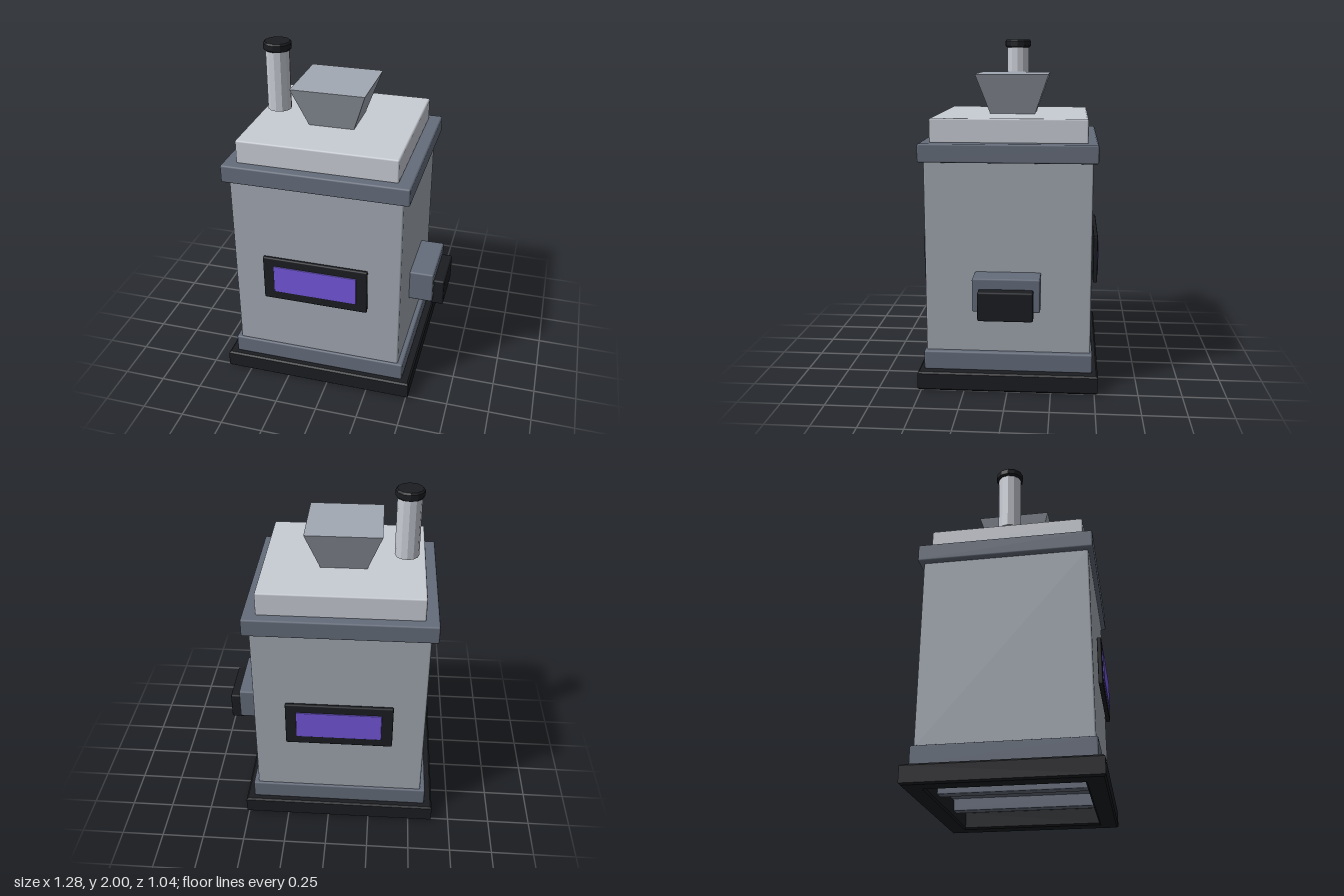
import * as THREE from 'three';
import { RoundedBoxGeometry } from 'three/addons/geometries/RoundedBoxGeometry.js';

const CX = -0.065; // centre line of the cabinet

const mat = (color, flatShading = false) => new THREE.MeshStandardMaterial({ color, flatShading });
const black = mat(0x1b1d21);
const slate = mat(0x656d7b);
const grey = mat(0xa1a8b2);
const pale = mat(0xc8ccd4);
const violet = mat(0x7457dc);
const greyFlat = mat(0xa1a8b2, true);
const paleFlat = mat(0xc8ccd4, true);
const blackFlat = mat(0x1b1d21, true);

export function createModel() {
  const model = new THREE.Group();
  model.name = 'hopperMachine';

  const add = (name, geometry, material, x = 0, y = 0, z = 0) => {
    const mesh = new THREE.Mesh(geometry, material);
    mesh.name = name;
    mesh.position.set(x, y, z);
    model.add(mesh);
    return mesh;
  };

  // Softly bevelled box given by its limits on each axis
  const box = (name, material, [x0, x1], [y0, y1], [z0, z1], bevel = 0.01) =>
    add(name, new RoundedBoxGeometry(x1 - x0, y1 - y0, z1 - z0, 1, bevel), material,
      (x0 + x1) / 2, (y0 + y1) / 2, (z0 + z1) / 2);

  // Box centred on the cabinet, from half width, height limits and half depth
  const tier = (name, material, hw, y, hd) =>
    box(name, material, [CX - hw, CX + hw], y, [-hd, hd]);

  // Hollow plinth, open underneath
  const bevel = 0.01, hw = 0.578 - bevel, hd = 0.52 - bevel, rim = 0.09;
  const rect = (path, w, d) =>
    path.moveTo(-w, -d).lineTo(w, -d).lineTo(w, d).lineTo(-w, d).closePath();
  const outline = rect(new THREE.Shape(), hw, hd);
  outline.holes.push(rect(new THREE.Path(), hw - rim, hd - rim));
  const plinth = new THREE.ExtrudeGeometry(outline, {
    depth: 0.11 - 2 * bevel, bevelEnabled: true, bevelSize: bevel, bevelThickness: bevel, bevelSegments: 1,
  });
  plinth.rotateX(-Math.PI / 2);
  add('plinth', plinth, black, CX, bevel, 0);

  // Bars inside the plinth
  for (const s of [-1, 1]) {
    const x = CX + s * 0.19;
    box('plinthBar', slate, [x - 0.035, x + 0.035], [0.04, 0.12], [-0.43, 0.43], 0.006);
  }

  // Stacked cabinet
  tier('lowerCollar', slate, 0.53, [0.11, 0.222], 0.487);
  tier('cabinet', grey, 0.5, [0.215, 1.33], 0.475);
  tier('upperCollar', slate, 0.538, [1.325, 1.43], 0.503);
  tier('topSlab', pale, 0.463, [1.425, 1.565], 0.445);

  // Hopper: a four-sided tapered block
  const hopper = new THREE.CylinderGeometry(0.215 * Math.SQRT2, 0.133 * Math.SQRT2, 0.235, 4);
  hopper.rotateY(Math.PI / 4);
  add('hopper', hopper, greyFlat, CX, 1.6825, 0);

  // Chimney with a wider cap
  add('chimney', new THREE.CylinderGeometry(0.07, 0.07, 0.36, 12), paleFlat, -0.418, 1.775, 0);
  const cap = [[0, 0], [0.073, 0], [0.082, 0.01], [0.082, 0.04], [0.073, 0.05], [0, 0.05]]
    .map(([r, y]) => new THREE.Vector2(r, y));
  add('chimneyCap', new THREE.LatheGeometry(cap, 12), blackFlat, -0.418, 1.95, 0);

  // Display panels on front and back
  for (const s of [1, -1]) {
    const z = (a, b) => (s > 0 ? [a, b] : [-b, -a]);
    box('displayFrame', black, [-0.378, 0.248], [0.588, 0.87], z(0.488, 0.513), 0.008);
    box('displayScreen', violet, [-0.312, 0.184], [0.643, 0.818], z(0.495, 0.519), 0.004);
  }

  // Outlet on the left side
  box('outletHousing', slate, [0.42, 0.578], [0.503, 0.697], [-0.19, 0.19]);
  box('outletMouth', black, [0.56, 0.64], [0.47, 0.637], [-0.154, 0.154]);

  return model;
}
